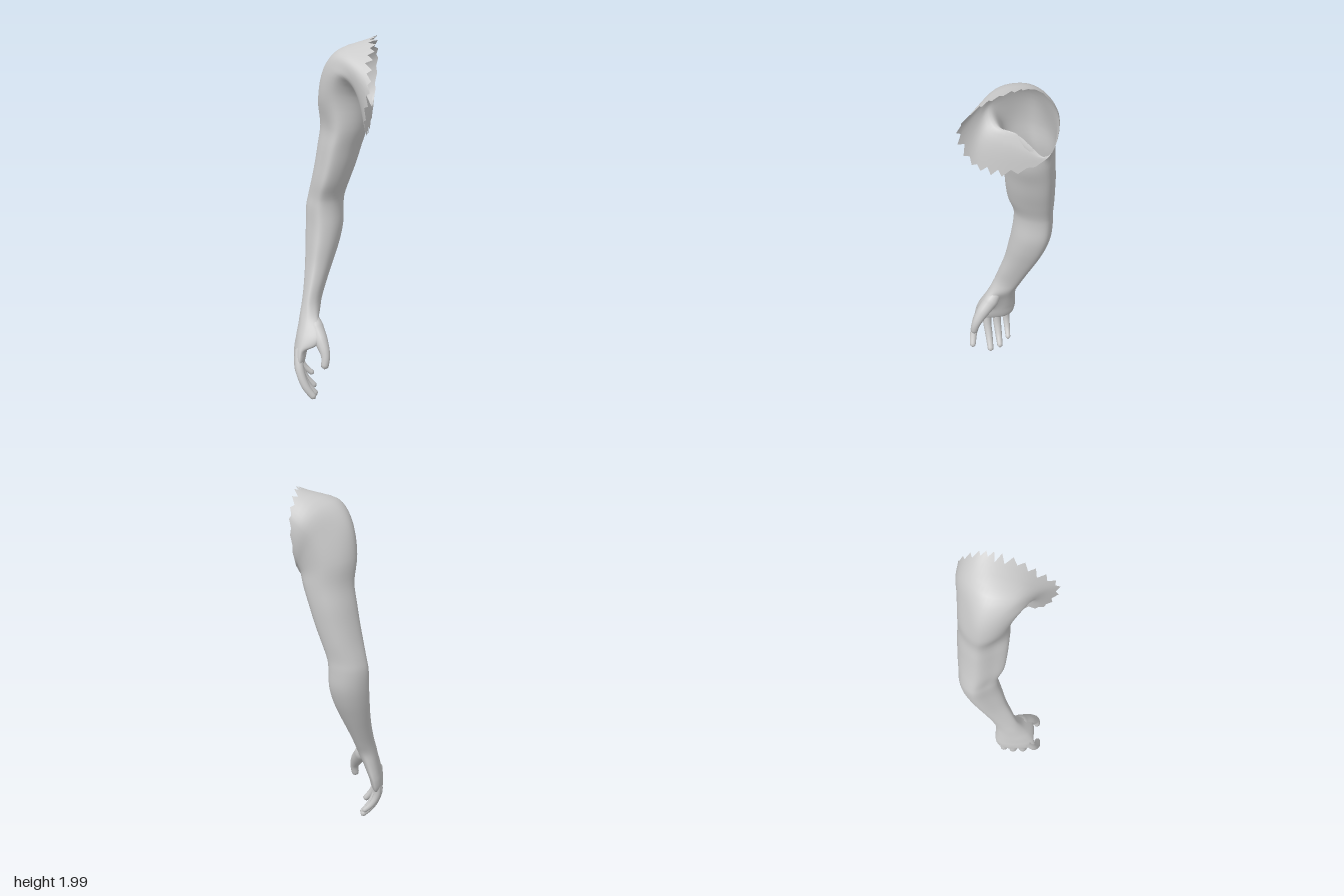
import * as THREE from 'three';
import { mergeVertices } from 'three/addons/utils/BufferGeometryUtils.js';

const V = (p) => new THREE.Vector3(...p);
const AROUND = 48;
const STEPS = 4;

// Horizontal palm sections: y, xMin, xMax, zMin, zMax, slant in x, bulge of the thumb's ball
const PALM = [
  [0.212, -0.19, -0.17, 0.09, 0.19, 0.01, 0],
  [0.222, -0.2, -0.152, 0.045, 0.235, 0.026, 0],
  [0.25, -0.212, -0.142, 0.024, 0.245, 0.028, 0],
  [0.30, -0.212, -0.134, 0.01, 0.235, 0.026, 0.004],
  [0.335, -0.207, -0.124, 0.005, 0.224, 0.024, 0.05],
  [0.375, -0.202, -0.112, 0.003, 0.206, 0.02, 0.065],
  [0.42, -0.196, -0.098, 0.0, 0.182, 0.016, 0.048],
  [0.48, -0.19, -0.08, -0.008, 0.15, 0.008, 0.008],
];

// Horizontal arm sections: y, xMin, xMax, zMin, zMax, skew towards the inner back
const ARM = [
  [0.55, -0.185, -0.08, -0.04, 0.12, 0.004],
  [0.65, -0.185, -0.06, -0.09, 0.085, 0.007],
  [0.75, -0.19, -0.035, -0.14, 0.052, 0.01],
  [0.85, -0.196, -0.01, -0.185, 0.03, 0.012],
  [0.95, -0.2, 0.005, -0.215, 0.01, 0.013],
  [1.05, -0.2, 0.003, -0.222, -0.003, 0.014],
  [1.11, -0.188, 0.008, -0.222, -0.003, 0.015],
  [1.20, -0.166, 0.038, -0.23, 0.022, 0.016],
  [1.30, -0.146, 0.074, -0.236, 0.03, 0.017],
  [1.40, -0.13, 0.104, -0.24, 0.032, 0.018],
  [1.51, -0.114, 0.14, -0.238, 0.032, 0.018],
];

// Shoulder sections fan out from the armpit; each runs inner, front, outer, back
const SHOULDER = [
  [[0.145, 1.66, -0.08], [0.1, 1.68, 0.005], [0.0, 1.69, 0.042], [-0.085, 1.67, -0.01],
    [-0.12, 1.65, -0.09], [-0.075, 1.64, -0.182], [0.015, 1.62, -0.238], [0.136, 1.575, -0.213]],
  [[0.13, 1.71, -0.06], [0.11, 1.735, 0.045], [0.035, 1.80, 0.088], [-0.05, 1.83, 0.012],
    [-0.084, 1.82, -0.09], [-0.02, 1.80, -0.182], [0.06, 1.74, -0.248], [0.146, 1.6, -0.216]],
  [[0.155, 1.64, -0.03], [0.145, 1.68, 0.11], [0.11, 1.80, 0.128], [0.04, 1.90, 0.065],
    [0.0, 1.925, -0.075], [0.055, 1.905, -0.192], [0.11, 1.81, -0.265], [0.152, 1.615, -0.219]],
  [[0.175, 1.48, 0.01], [0.188, 1.54, 0.16], [0.225, 1.74, 0.225], [0.215, 1.89, 0.1],
    [0.205, 1.98, -0.06], [0.185, 1.99, -0.165], [0.172, 1.86, -0.266], [0.158, 1.61, -0.222]],
];

// Eight points round a section, starting at the inner side and turning to the front
function ring([y, x0, x1, z0, z1], shape) {
  return Array.from({ length: 8 }, (_, k) => {
    const a = (k * Math.PI) / 4;
    const c = (Math.cos(a) * (x1 - x0)) / 2, s = (Math.sin(a) * (z1 - z0)) / 2;
    const [dx, dz] = shape(k, a, c, s);
    return [(x0 + x1) / 2 + c + dx, y, (z0 + z1) / 2 + s + dz];
  });
}

function palmRing(section) {
  const [slant, bulge] = section.slice(5);
  return ring(section, (k, a) => {
    const b = k === 1 ? bulge : 0;
    return [slant * Math.sin(a) + b, b * 0.3];
  });
}

function armRing(section) {
  const skew = section[5];
  return ring(section, (k, a, c, s) => {
    if (k % 4 === 3) return [skew, -skew];
    if (k % 4 === 1) return [-4 * skew * c, -4 * skew * s];
    return [0, 0];
  });
}

// Smooth skin through all rings, ending in a torn, toothed edge
function skinGeometry(rings) {
  const loops = rings.map((r) => new THREE.CatmullRomCurve3(r.map(V), true));
  const rows = (rings.length - 1) * STEPS;
  const pos = [];
  const index = [];
  for (let j = 0; j < AROUND; j++) {
    const column = new THREE.CatmullRomCurve3(loops.map((l) => l.getPoint(j / AROUND)));
    for (let i = 0; i <= rows; i++) {
      let row = i;
      if (i === rows && j % 2) row -= 0.75 + 0.2 * Math.sin(j * 2.3);
      pos.push(...column.getPoint(row / rows).toArray());
    }
  }
  const id = (i, j) => (j % AROUND) * (rows + 1) + i;
  for (let j = 0; j < AROUND; j++) {
    for (let i = 0; i < rows; i++) {
      const a = id(i, j), b = id(i, j + 1), c = id(i + 1, j), d = id(i + 1, j + 1);
      index.push(a, c, b, b, c, d);
    }
  }
  // close the end between the fingers
  for (let j = 1; j < AROUND - 1; j++) index.push(id(0, 0), id(0, j), id(0, j + 1));
  const g = new THREE.BufferGeometry();
  g.setAttribute('position', new THREE.Float32BufferAttribute(pos, 3));
  g.setIndex(index);
  g.computeVertexNormals();
  return g;
}

// Tapered finger with a rounded tip
function fingerGeometry(points, radii) {
  const curve = new THREE.CatmullRomCurve3(points.map(V));
  const n = 28, sides = 14;
  const tube = new THREE.TubeGeometry(curve, n, 1, sides, false);
  const p = tube.attributes.position;
  const length = curve.getLength();
  const v = new THREE.Vector3();
  for (let i = 0; i <= n; i++) {
    const u = i / n;
    const c = curve.getPointAt(u);
    const f = curve.getUtoTmapping(u) * (radii.length - 1);
    const k = Math.min(Math.floor(f), radii.length - 2);
    let r = THREE.MathUtils.lerp(radii[k], radii[k + 1], f - k);
    const left = Math.min(1, ((1 - u) * length) / r);
    r *= Math.sqrt(Math.max(0, 1 - (1 - left) ** 2));
    for (let s = 0; s <= sides; s++) {
      const q = i * (sides + 1) + s;
      v.fromBufferAttribute(p, q).sub(c).multiplyScalar(r).add(c);
      p.setXYZ(q, v.x, v.y, v.z);
    }
  }
  tube.deleteAttribute('uv');
  tube.deleteAttribute('normal');
  const g = mergeVertices(tube, 1e-5);
  g.computeVertexNormals();
  return g;
}

const FINGERS = {
  indexFinger: [[[-0.168, 0.31, 0.195], [-0.152, 0.2, 0.235], [-0.115, 0.11, 0.25], [-0.062, 0.038, 0.246]],
    [0.022, 0.025, 0.022, 0.017]],
  middleFinger: [[[-0.175, 0.30, 0.155], [-0.172, 0.18, 0.175], [-0.138, 0.085, 0.158], [-0.08, 0.005, 0.135]],
    [0.024, 0.026, 0.022, 0.017]],
  ringFinger: [[[-0.187, 0.30, 0.105], [-0.192, 0.19, 0.118], [-0.16, 0.10, 0.103], [-0.1, 0.028, 0.08]],
    [0.024, 0.025, 0.021, 0.016]],
  littleFinger: [[[-0.195, 0.30, 0.055], [-0.204, 0.21, 0.063], [-0.178, 0.14, 0.052], [-0.125, 0.085, 0.035]],
    [0.022, 0.022, 0.018, 0.014]],
  thumb: [[[-0.13, 0.51, 0.075], [-0.088, 0.42, 0.13], [-0.044, 0.355, 0.175], [-0.012, 0.285, 0.208], [-0.014, 0.21, 0.225]],
    [0.02, 0.045, 0.038, 0.025, 0.02]],
};

export function createModel() {
  const group = new THREE.Group();
  group.name = 'arm';
  const skin = new THREE.MeshStandardMaterial({ color: 0xcccccc, side: THREE.DoubleSide });
  const add = (name, geometry) => {
    const mesh = new THREE.Mesh(geometry, skin);
    mesh.name = name;
    group.add(mesh);
  };

  // Shoulder, arm and palm in one skin
  add('shoulderArmAndPalm', skinGeometry([...PALM.map(palmRing), ...ARM.map(armRing), ...SHOULDER]));

  // Curled fingers and thumb
  for (const [name, [points, radii]] of Object.entries(FINGERS)) add(name, fingerGeometry(points, radii));
  return group;
}
